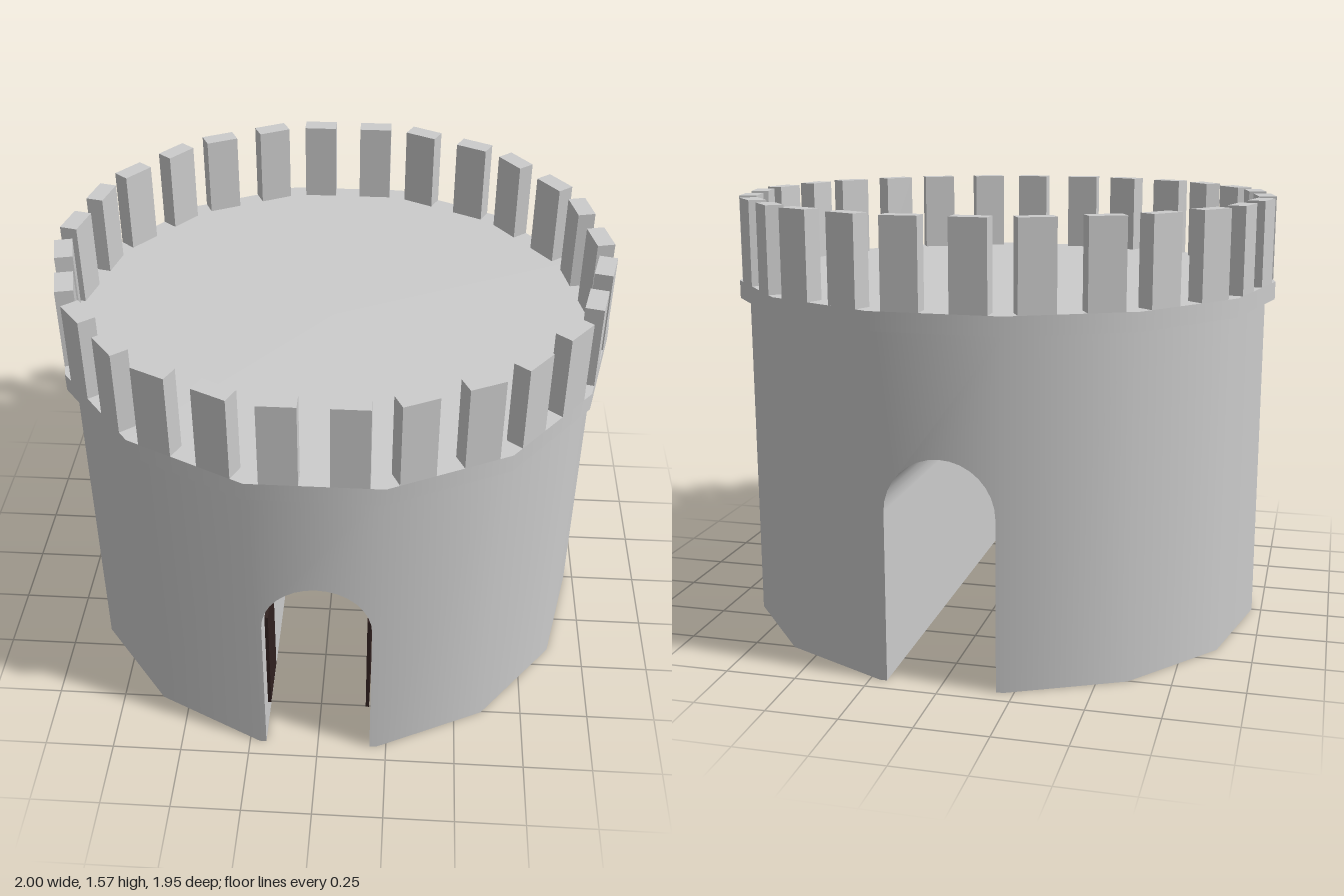
import * as THREE from 'three';

const SIDES = 14;
const HALF = Math.PI / SIDES;          // half the angle of one side
const R = 0.965, WALL_TOP = 1.21;      // tower body
const CAP_R = 1, CAP_TOP = 1.27;       // parapet slab
const ARCH_R = 0.19, SPRING = 0.598;   // passage through the tower
const ARCH_STEPS = 16;
const FACE_Z = R * Math.cos(HALF);
const FACE_X = R * Math.sin(HALF);

export function createModel() {
  const model = new THREE.Group();
  model.name = 'tower';
  // The body is a hollow shell, open underneath, so its inside shows too
  const stone = new THREE.MeshStandardMaterial({ color: 0xcccccc, side: THREE.DoubleSide });
  stone.name = 'grey stone';
  const dark = new THREE.MeshStandardMaterial({ color: 0x30211f });
  dark.name = 'dark brown';

  const add = (name, geometry, material = stone, parent = model) => {
    const mesh = new THREE.Mesh(geometry, material);
    mesh.name = name;
    parent.add(mesh);
    return mesh;
  };

  // Curved side walls, leaving out the front and back sides
  const sideWall = new THREE.CylinderGeometry(
    R, R, WALL_TOP, SIDES / 2 - 1, 1, true, HALF, Math.PI - 2 * HALF);
  sideWall.translate(0, WALL_TOP / 2, 0);

  // Front and back sides with the arched opening, shaded as part of the round wall
  const face = new THREE.Shape();
  face.moveTo(ARCH_R, 0);
  face.lineTo(FACE_X, 0);
  face.lineTo(FACE_X, WALL_TOP);
  face.lineTo(-FACE_X, WALL_TOP);
  face.lineTo(-FACE_X, 0);
  face.lineTo(-ARCH_R, 0);
  face.lineTo(-ARCH_R, SPRING);
  face.absarc(0, SPRING, ARCH_R, Math.PI, 0, true);
  const gateWall = new THREE.ShapeGeometry(face, ARCH_STEPS / 2);
  gateWall.translate(0, 0, FACE_Z);
  const pos = gateWall.attributes.position;
  for (let i = 0; i < pos.count; i++) {
    const n = new THREE.Vector3(pos.getX(i), 0, FACE_Z).normalize();
    gateWall.attributes.normal.setXYZ(i, n.x, n.y, n.z);
  }

  for (const [side, end, turn] of [['left', 'front', 0], ['right', 'back', Math.PI]]) {
    add(side + 'Wall', sideWall).rotation.y = turn;
    add(end + 'GateWall', gateWall).rotation.y = turn;
  }

  add('passage', passageGeometry());

  // Dark door leaves standing against the passage walls near the front
  for (const [name, s] of [['leftDoor', 1], ['rightDoor', -1]]) {
    add(name, new THREE.BoxGeometry(0.012, 0.436, 0.187), dark)
      .position.set(s * 0.178, 0.381, 0.8);
  }

  // Overhanging parapet slab
  const capH = CAP_TOP - 1.205;
  add('parapetSlab', new THREE.CylinderGeometry(CAP_R, CAP_R, capH, SIDES, 1, false, HALF))
    .position.y = CAP_TOP - capH / 2;

  // Two merlons on every side of the slab
  const battlements = new THREE.Group();
  battlements.name = 'battlements';
  model.add(battlements);
  const merlonH = 0.303, merlonD = 0.064;
  const merlon = new THREE.BoxGeometry(0.125, merlonH, merlonD);
  for (let i = 0; i < SIDES; i++) {
    const side = new THREE.Group();
    side.name = 'merlonPair';
    side.rotation.y = i * 2 * HALF;
    battlements.add(side);
    for (const s of [-1, 1]) {
      add('merlon', merlon, stone, side)
        .position.set(s * 0.112, CAP_TOP + merlonH / 2, CAP_R * Math.cos(HALF) - merlonD / 2);
    }
  }
  return model;
}

// Inward-facing strip: up one wall, over the vault, down the other wall
function passageGeometry() {
  const section = [[ARCH_R, 0, 0]];
  for (let i = 0; i <= ARCH_STEPS; i++) {
    const a = Math.PI * i / ARCH_STEPS;
    section.push([ARCH_R * Math.cos(a), SPRING + ARCH_R * Math.sin(a), a]);
  }
  section.push([-ARCH_R, 0, Math.PI]);

  const positions = [], normals = [], index = [];
  section.forEach(([x, y, a], i) => {
    for (const z of [FACE_Z, -FACE_Z]) {
      positions.push(x, y, z);
      normals.push(-Math.cos(a), -Math.sin(a), 0);
    }
    if (i > 0) {
      const p = 2 * i - 2;
      index.push(p, p + 2, p + 1, p + 1, p + 2, p + 3);
    }
  });
  const geometry = new THREE.BufferGeometry();
  geometry.setAttribute('position', new THREE.Float32BufferAttribute(positions, 3));
  geometry.setAttribute('normal', new THREE.Float32BufferAttribute(normals, 3));
  geometry.setIndex(index);
  return geometry;
}
